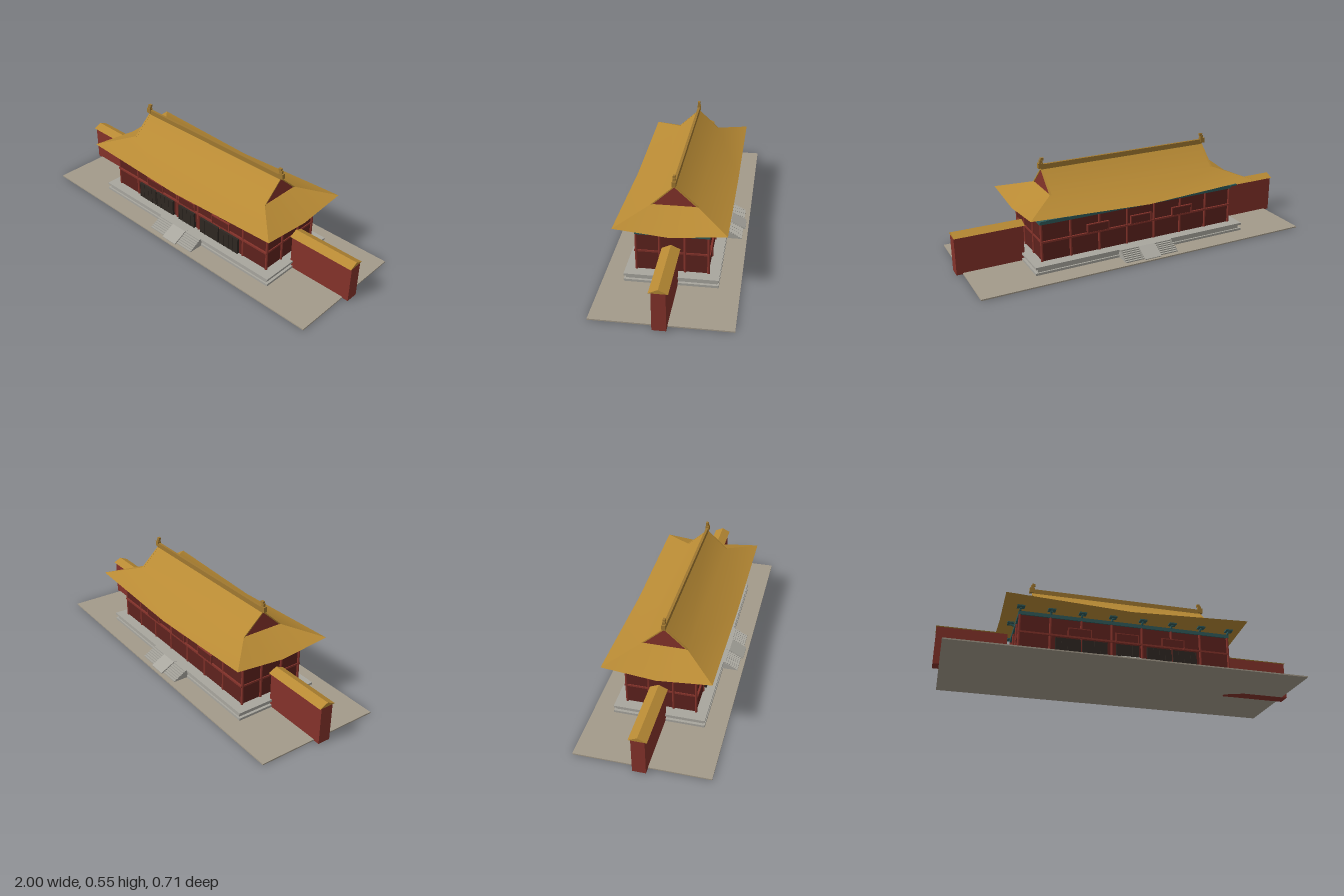
import * as THREE from 'three';

const mat = (color) => new THREE.MeshStandardMaterial({ color });
const GOLD = mat(0xb88a34), RIDGE = mat(0xa07830), RED = mat(0x84322a), WALL = mat(0x5e221d),
  TEAL = mat(0x2f5a5a), STONE = mat(0xa8a69e), PAVING = mat(0xa39a8a), DARK = mat(0x2e2722);
const ROOF = new THREE.MeshStandardMaterial({ color: 0xb88a34, side: THREE.DoubleSide });
const GABLE = new THREE.MeshStandardMaterial({ color: 0x84322a, side: THREE.DoubleSide });

export function createModel() {
  const root = new THREE.Group();
  const group = (name) => {
    const g = new THREE.Group();
    g.name = name;
    root.add(g);
    return g;
  };
  // box given by its extents on each axis
  const box = (parent, name, material, x0, x1, y0, y1, z0, z1) => {
    const m = new THREE.Mesh(new THREE.BoxGeometry(x1 - x0, y1 - y0, z1 - z0), material);
    m.position.set((x0 + x1) / 2, (y0 + y1) / 2, (z0 + z1) / 2);
    m.name = name;
    parent.add(m);
    return m;
  };
  // small surface from corner points and triangles
  const surface = (parent, name, material, points, tris) => {
    const g = new THREE.BufferGeometry();
    g.setAttribute('position', new THREE.Float32BufferAttribute(points.flat(), 3));
    g.setIndex(tris.flat());
    g.computeVertexNormals();
    const m = new THREE.Mesh(g, material);
    m.name = name;
    parent.add(m);
  };

  // paved ground and three-tier podium
  box(root, 'paving', PAVING, -0.965, 0.965, 0, 0.007, -0.353, 0.353);
  const podium = group('podium');
  box(podium, 'podiumBase', STONE, -0.64, 0.64, 0.007, 0.02, -0.243, 0.243);
  box(podium, 'podiumMiddle', STONE, -0.625, 0.625, 0.02, 0.04, -0.234, 0.234);
  box(podium, 'podiumTop', STONE, -0.64, 0.64, 0.04, 0.052, -0.243, 0.243);

  // front and back stairs with a central ramp
  for (const s of [1, -1]) {
    const stairs = group(s > 0 ? 'frontStairs' : 'backStairs');
    const n = 7;
    for (let i = 0; i < n; i++) {
      const y = 0.007 + (0.045 * (i + 1)) / n, z = 0.325 - i * 0.0115;
      box(stairs, 'step', STONE, -0.16, 0.16, 0.007, y, Math.min(s * 0.238, s * z), Math.max(s * 0.238, s * z));
    }
    const ramp = new THREE.Shape([[0.24, 0.007], [0.338, 0.007], [0.338, 0.011], [0.257, 0.054], [0.24, 0.054]]
      .map(([z, y]) => new THREE.Vector2(z, y)));
    const mesh = new THREE.Mesh(new THREE.ExtrudeGeometry(ramp, { depth: 0.1, bevelEnabled: false }), STONE);
    mesh.name = 'ramp';
    mesh.rotation.y = -s * Math.PI / 2;
    mesh.position.x = s * 0.05;
    stairs.add(mesh);
  }

  // hall walls, columns, rails and top beam
  const hall = group('hall');
  box(hall, 'hallWalls', WALL, -0.58, 0.58, 0.052, 0.262, -0.185, 0.185);
  box(hall, 'topBeam', TEAL, -0.59, 0.59, 0.26, 0.28, -0.192, 0.192);
  box(hall, 'rail', RED, -0.585, 0.585, 0.156, 0.166, -0.195, 0.195);
  const bays = [-0.582, -0.418, -0.251, -0.084, 0.084, 0.251, 0.418, 0.582];
  const column = (x, z) => {
    const m = new THREE.Mesh(new THREE.CylinderGeometry(0.007, 0.007, 0.208, 12), RED);
    m.position.set(x, 0.156, z);
    m.name = 'column';
    hall.add(m);
  };
  for (const s of [1, -1]) {
    for (const x of bays) column(x, s * 0.185);
    for (const z of [-0.065, 0.065]) column(s * 0.582, z);
  }

  // framed upper panels front and back, lattice doors on the front
  for (const x of [-0.26, 0, 0.26])
    for (const s of [1, -1])
      box(hall, 'upperPanel', WALL, x - 0.062, x + 0.062, 0.16, 0.212, s * 0.19 - 0.004, s * 0.19 + 0.004);
  for (const x of [-0.26, 0, 0.26])
    for (const s of [1, -1]) {
      const z = s * 0.191;
      box(hall, 'panelFrame', RED, x - 0.065, x + 0.065, 0.208, 0.213, z - 0.005, z + 0.005);
      for (const e of [-1, 1])
        box(hall, 'panelFrame', RED, x + e * 0.062 - 0.003, x + e * 0.062 + 0.003, 0.16, 0.213, z - 0.005, z + 0.005);
    }
  for (const [x0, x1] of [[-0.39, -0.255], [-0.247, -0.11], [-0.062, 0.062], [0.11, 0.247], [0.255, 0.39]]) {
    box(hall, 'door', DARK, x0, x1, 0.053, 0.147, 0.185, 0.198);
    const n = 4;
    for (let i = 0; i <= n; i++) {
      const x = x0 + 0.002 + ((x1 - x0 - 0.004) * i) / n;
      box(hall, 'doorBar', DARK, x - 0.002, x + 0.002, 0.053, 0.147, 0.197, 0.2);
    }
  }

  // bracket sets under the eaves, each stepping outward
  const bracket = (x, z, angle) => {
    const b = group('bracket');
    box(b, 'bracketBlock', TEAL, -0.005, 0.005, 0.278, 0.292, 0, 0.014);
    box(b, 'bracketArm', TEAL, -0.005, 0.005, 0.282, 0.289, 0, 0.028);
    box(b, 'bracketTop', TEAL, -0.02, 0.02, 0.289, 0.296, 0.006, 0.042);
    b.position.set(x, 0, z);
    b.rotation.y = angle;
  };
  for (const x of bays) {
    bracket(x, 0.19, 0);
    bracket(x, -0.19, Math.PI);
  }
  for (const s of [1, -1]) bracket(s * 0.585, 0, s * Math.PI / 2);

  // hip-and-gable roof with raised corners
  const roof = group('roof');
  const X = 0.67, Z = 0.285, LOW = 0.302, TIP = 0.331, GX = 0.5, GZ = 0.12, GY = 0.386, TOP = 0.498;
  for (const s of [1, -1]) {
    const flip = (t) => (s > 0 ? t : t.map(([a, b, c]) => [a, c, b]));
    surface(roof, 'mainSlope', ROOF, [
      [-X, TIP, s * Z], [0, LOW, s * Z], [X, TIP, s * Z],
      [GX, GY, s * GZ], [-GX, GY, s * GZ], [GX, TOP, 0], [-GX, TOP, 0],
    ], flip([[0, 1, 4], [1, 3, 4], [1, 2, 3], [4, 3, 5], [4, 5, 6]]));
    surface(roof, 'sideSlope', ROOF, [
      [s * X, TIP, Z], [s * X, LOW, 0], [s * X, TIP, -Z], [s * GX, GY, -GZ], [s * GX, GY, GZ],
    ], flip([[0, 1, 4], [1, 3, 4], [1, 2, 3]]));
    surface(roof, 'gable', GABLE, [
      [s * 0.497, GY, GZ], [s * 0.497, GY, -GZ], [s * 0.497, TOP, 0],
    ], flip([[0, 1, 2]]));
    // gable edge tiles following both rakes
    for (const e of [1, -1]) {
      const len = Math.hypot(GZ, TOP - GY);
      const tile = box(roof, 'gableEdge', GOLD, s * 0.496 - 0.005, s * 0.496 + 0.005, -0.003, 0.003, -len / 2, len / 2);
      tile.position.set(s * 0.496, (GY + TOP) / 2 - 0.003, e * GZ / 2);
      tile.rotation.x = e * Math.atan2(TOP - GY, GZ);
    }
  }
  // soffit: a fan around the middle, rising to the corners
  const rim = [[X, LOW, 0], [X, TIP, Z], [0, LOW, Z], [-X, TIP, Z], [-X, LOW, 0], [-X, TIP, -Z], [0, LOW, -Z], [X, TIP, -Z]];
  const fan = [];
  for (let i = 0; i < 8; i += 2) {
    const next = (i + 2) % 8;
    fan.push([i, i + 1, next], [8, i, next]);
  }
  surface(roof, 'soffit', ROOF, [...rim, [0, LOW, 0]], fan);

  // main ridge with end ornaments
  const ridge = group('ridge');
  box(ridge, 'ridgeBeam', RIDGE, -0.5, 0.5, 0.49, 0.519, -0.007, 0.007);
  for (const s of [1, -1]) {
    const part = (name, a, b, y0, y1, d) =>
      box(ridge, name, RIDGE, Math.min(s * a, s * b), Math.max(s * a, s * b), y0, y1, -d, d);
    part('ornamentBase', 0.488, 0.516, 0.498, 0.527, 0.01);
    part('ornamentNeck', 0.49, 0.508, 0.525, 0.543, 0.007);
    part('ornamentTip', 0.484, 0.502, 0.541, 0.554, 0.0065);
  }

  // flanking walls with tiled gable caps
  const cap = new THREE.Shape([[-0.047, 0.21], [0.047, 0.21], [0, 0.232]].map(([z, y]) => new THREE.Vector2(z, y)));
  for (const s of [1, -1]) {
    const wing = group(s > 0 ? 'leftWall' : 'rightWall');
    box(wing, 'wallBody', RED, Math.min(s * 0.625, s * 0.998), Math.max(s * 0.625, s * 0.998), 0, 0.211, -0.035, 0.035);
    const m = new THREE.Mesh(new THREE.ExtrudeGeometry(cap, { depth: 0.38, bevelEnabled: false }), GOLD);
    m.name = 'wallCap';
    m.rotation.y = Math.PI / 2;
    m.position.x = s > 0 ? 0.62 : -1;
    wing.add(m);
  }
  return root;
}
